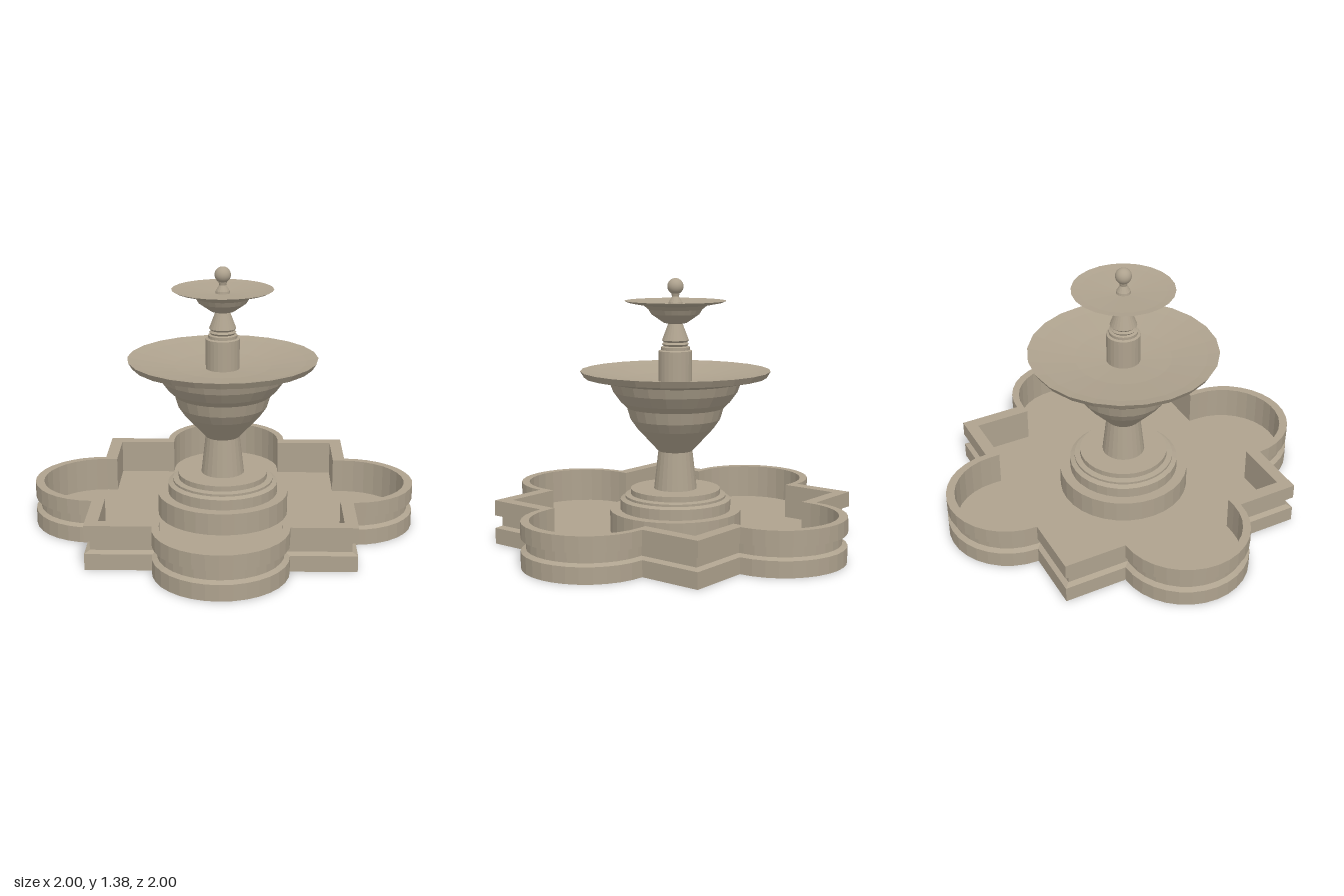
import * as THREE from 'three';

const stone = new THREE.MeshStandardMaterial({ color: 0xaea28e });
stone.name = 'sandstone';

// Faceted normals without touching the material
function faceted(geo) {
  const g = geo.index ? geo.toNonIndexed() : geo;
  g.computeVertexNormals();
  return g;
}

function add(parent, name, geo) {
  const mesh = new THREE.Mesh(geo, stone);
  mesh.name = name;
  parent.add(mesh);
  return mesh;
}

// Turned part from [radius, height] pairs, bottom to top
function turned(parent, name, profile, sides = 24) {
  const pts = profile.map(([r, y]) => new THREE.Vector2(r, y));
  return add(parent, name, faceted(new THREE.LatheGeometry(pts, sides)));
}

// Plan of the basin: a square with a half-round lobe on each side
function plan(half, radius, centre, steps = 16) {
  const pts = [];
  for (let q = 0; q < 4; q++) {
    const local = [[half, -half], [half, -radius]];
    for (let i = 0; i <= steps; i++) {
      const a = -Math.PI / 2 + (Math.PI * i) / steps;
      local.push([centre + radius * Math.cos(a), radius * Math.sin(a)]);
    }
    local.push([half, radius]);
    const c = [1, 0, -1, 0][q], s = [0, 1, 0, -1][q];
    for (const [x, z] of local) pts.push(new THREE.Vector2(x * c - z * s, x * s + z * c));
  }
  return pts;
}

// Skin joining successive plans, each { y, pts }
function loft(levels) {
  const pos = [];
  const put = (l, i) => {
    const p = l.pts[i % l.pts.length];
    pos.push(p.x, l.y, p.y);
  };
  for (let k = 0; k + 1 < levels.length; k++) {
    const lo = levels[k], hi = levels[k + 1];
    for (let i = 0; i < lo.pts.length; i++) {
      put(lo, i); put(hi, i); put(lo, i + 1);
      put(lo, i + 1); put(hi, i); put(hi, i + 1);
    }
  }
  const g = new THREE.BufferGeometry();
  g.setAttribute('position', new THREE.Float32BufferAttribute(pos, 3));
  return faceted(g);
}

export function createModel() {
  const fountain = new THREE.Group();
  fountain.name = 'fountain';

  // Basin wall with a recessed band, flat rim and inner face
  const basin = new THREE.Group();
  basin.name = 'basin';
  fountain.add(basin);
  const outer = (y, inset) => ({ y, pts: plan(0.665 - inset, 0.335 - inset, 0.665) });
  const innerPlan = plan(0.6, 0.3, 0.655);
  const floorY = 0.05;
  add(basin, 'basinWall', loft([
    outer(0, 0), outer(0.083, 0), outer(0.095, 0.026), outer(0.15, 0.026),
    outer(0.15, 0), outer(0.23, 0),
    { y: 0.23, pts: innerPlan }, { y: floorY, pts: innerPlan },
  ]));
  const floor = new THREE.ShapeGeometry(new THREE.Shape(innerPlan));
  add(basin, 'basinFloor', floor.rotateX(-Math.PI / 2).translate(0, floorY, 0));
  const underside = new THREE.ShapeGeometry(new THREE.Shape(plan(0.665, 0.335, 0.665)));
  add(basin, 'basinUnderside', underside.rotateX(Math.PI / 2));

  const centrepiece = new THREE.Group();
  centrepiece.name = 'centrepiece';
  centrepiece.position.x = -0.005;
  fountain.add(centrepiece);

  // Stepped plinth
  turned(centrepiece, 'plinth', [
    [0.345, floorY], [0.345, 0.165], [0.29, 0.165], [0.29, 0.22], [0.265, 0.23],
    [0.265, 0.242], [0.235, 0.247], [0.235, 0.275], [0, 0.275],
  ], 32);

  // Tapered stem
  turned(centrepiece, 'stem', [[0.113, 0.275], [0.09, 0.475]]);

  // Large bowl: outside, rim, then the shallow dish inside
  turned(centrepiece, 'largeBowl', [
    [0.09, 0.475], [0.2, 0.595], [0.235, 0.645], [0.253, 0.705], [0.285, 0.735],
    [0.325, 0.79], [0.343, 0.838], [0.475, 0.865], [0.495, 0.898],
    [0.435, 0.885], [0.25, 0.857], [0, 0.835],
  ]);

  // Column with collar rings and a tapered neck
  turned(centrepiece, 'column', [
    [0.088, 0.835], [0.088, 1.0], [0.075, 1.005], [0.075, 1.02], [0.062, 1.025],
    [0.07, 1.035], [0.06, 1.045], [0.07, 1.055], [0.036, 1.145],
  ]);

  // Small bowl
  turned(centrepiece, 'smallBowl', [
    [0.036, 1.14], [0.06, 1.145], [0.125, 1.19], [0.14, 1.215], [0.165, 1.235],
    [0.245, 1.25], [0.263, 1.259], [0.22, 1.253], [0, 1.235],
  ]);

  // Finial
  turned(centrepiece, 'finialFoot', [[0.038, 1.235], [0.036, 1.25], [0.018, 1.28], [0.024, 1.305]], 16);
  add(centrepiece, 'finialBall', new THREE.SphereGeometry(0.042, 20, 14)).position.y = 1.333;

  return fountain;
}
